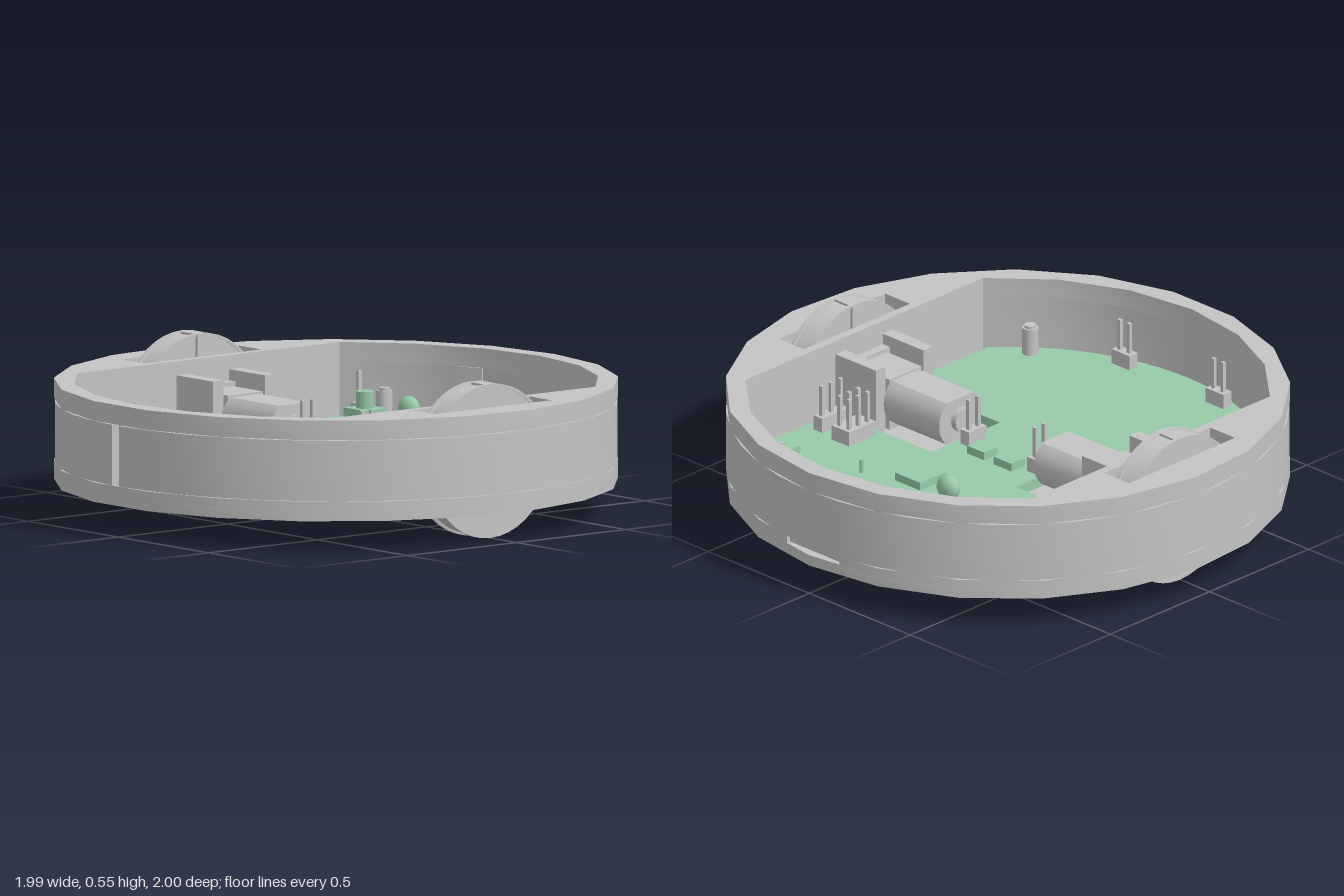
import * as THREE from 'three';
import { toCreasedNormals } from 'three/addons/utils/BufferGeometryUtils.js';

const grey = new THREE.MeshStandardMaterial({ color: 0xc4c4c4 });
grey.name = 'grey plastic';
const green = new THREE.MeshStandardMaterial({ color: 0x98caa8 });
green.name = 'circuit green';

const FLOOR = 0.17, BOARD = 0.21, AXLE = 0.277;
const v2 = (x, z) => new THREE.Vector2(x, z);

// Points on a circle; angle 0 is the front (+z)
function arc(r, a0, a1, n) {
  return Array.from({ length: n + 1 }, (_, i) => {
    const a = a0 + (a1 - a0) * i / n;
    return v2(r * Math.sin(a), r * Math.cos(a));
  });
}
const rect = (x0, x1, z0, z1) => [v2(x0, z0), v2(x1, z0), v2(x1, z1), v2(x0, z1)];
// Outlines must run counter-clockwise so that the hole walls face inwards
const ccw = pts => (THREE.ShapeUtils.isClockWise(pts) ? [...pts].reverse() : pts);

export function createModel() {
  const model = new THREE.Group();
  model.name = 'roundRobot';

  const add = (name, geo, mat = grey, parent = model) => {
    const m = new THREE.Mesh(geo, mat);
    m.name = name;
    parent.add(m);
    return m;
  };
  // Box given by its limits
  const box = (name, x0, x1, y0, y1, z0, z1, mat = grey, parent = model) => {
    const g = new THREE.BoxGeometry(x1 - x0, y1 - y0, z1 - z0);
    g.translate((x0 + x1) / 2, (y0 + y1) / 2, (z0 + z1) / 2);
    return add(name, g, mat, parent);
  };
  // Plan outline in x/z raised from y0 to y1
  const slab = (name, outline, holes, y0, y1, mat = grey) => {
    const s = new THREE.Shape(ccw(outline));
    s.holes = holes.map(h => new THREE.Path(h));
    const g = new THREE.ExtrudeGeometry(s, { depth: y1 - y0, bevelEnabled: false });
    g.rotateX(Math.PI / 2).translate(0, y1, 0);
    return add(name, toCreasedNormals(g, 0.5), mat);
  };
  const post = (name, x, z, r, y0, y1, mat = grey, n = 16) => {
    const g = new THREE.CylinderGeometry(r, r, y1 - y0, n);
    g.translate(x, (y0 + y1) / 2, z);
    return add(name, g, mat);
  };

  // Shell outlines with 21 sides and one corner at the back
  const ring = r => arc(r, Math.PI, Math.PI * 3, 21).slice(0, 21);
  const full = ring(1);
  const notched = [v2(0.13, -0.98), v2(0.13, -0.965), v2(-0.13, -0.965), v2(-0.13, -0.98), ...full.slice(1)];

  // Cavity with two straight sides, and the wheel wells
  const c = Math.asin(0.71 / 0.93);
  const cavity = [...arc(0.93, -c, c, 6), ...arc(0.93, Math.PI - c, Math.PI + c, 6)];
  const wells = [1, -1].map(s => rect(s * 0.743, s * 0.866, -0.27, 0.265));
  const open = [cavity, ...wells];

  slab('floor', full, wells, 0.11, 0.15);
  slab('floorSlotLayer', notched, wells, 0.15, FLOOR);
  slab('wallSlotLayer', notched, open, FLOOR, 0.18);
  slab('wallCore', ring(0.975), open, 0.18, 0.4);
  slab('wallTop', full, open, 0.4, 0.47);

  // Rounder outer band with a narrow gap at the front
  const bandEdge = r => arc(r, 0, Math.PI * 2 - 0.04, 42);
  slab('outerBand', [...bandEdge(0.996), ...bandEdge(0.96).reverse()], [], 0.182, 0.398);

  // Small panel on the inside of the back wall
  const panel = add('wallPanel', new THREE.BoxGeometry(0.1, 0.18, 0.008));
  panel.position.set(-0.31, 0.31, -0.867);
  panel.rotation.y = 0.43;

  // Circuit board with cut-outs for the motors
  const b = Math.asin(0.685 / 0.91);
  slab('circuitBoard', [
    ...arc(0.91, -b, b, 24), v2(0.685, 0.175), v2(0.21, 0.175), v2(0.21, -0.17), v2(0.685, -0.17),
    ...arc(0.91, Math.PI - b, Math.PI + b, 24),
    v2(-0.685, -0.17), v2(-0.21, -0.17), v2(-0.21, 0.175), v2(-0.685, 0.175),
  ], [], FLOOR, BOARD, green);

  // Wheel: flat disc with a lip on each edge of the tread
  const half = [[0, -0.046], [0.264, -0.046], [0.264, -0.05], [0.275, -0.05], [0.275, -0.036], [0.266, -0.034]];
  const profile = [...half, ...half.map(([r, y]) => [r, -y]).reverse()].map(p => v2(...p));
  const wheelGeo = toCreasedNormals(new THREE.LatheGeometry(profile, 40).rotateZ(-Math.PI / 2), 0.5);

  // Motor can: round sides, flat top and bottom
  const f = Math.asin(0.08 / 0.105);
  const canShape = new THREE.Shape([
    ...arc(0.105, Math.PI / 2 - f, Math.PI / 2 + f, 10),
    ...arc(0.105, Math.PI * 1.5 - f, Math.PI * 1.5 + f, 10)]);
  const canGeo = toCreasedNormals(
    new THREE.ExtrudeGeometry(canShape, { depth: 0.275, bevelEnabled: false })
      .rotateY(Math.PI / 2).translate(0.235, AXLE, 0), 0.4);
  const rod = (r, x0, x1) => new THREE.CylinderGeometry(r, r, x1 - x0, 20)
    .rotateZ(Math.PI / 2).translate((x0 + x1) / 2, AXLE, 0);

  // Left drive, then the right one turned half round
  for (const side of ['left', 'right']) {
    const drive = new THREE.Group();
    drive.name = side + 'Drive';
    if (side === 'right') drive.rotation.y = Math.PI;
    model.add(drive);
    add('wheel', wheelGeo, grey, drive).position.set(0.805, AXLE, 0);
    box('treadRib', 0.75, 0.842, 0.44, 0.55, -0.018, 0.018, grey, drive);
    add('axle', rod(0.022, 0.67, 0.85), grey, drive);
    add('motorCan', canGeo, grey, drive);
    add('motorBoss', rod(0.045, 0.212, 0.24), grey, drive);
    box('gearbox', 0.505, 0.68, FLOOR, 0.365, -0.08, 0.08, grey, drive);
    box('gearboxBack', 0.675, 0.71, FLOOR, 0.38, -0.1, 0.1, grey, drive);
    for (const s of [-1, 1]) {
      const z = s * 0.12;
      box('motorBracket', 0.51, 0.71, FLOOR, 0.42, z - 0.025, z + 0.025, grey, drive);
    }
  }

  // Flat green chips: x0, x1, z0, z1, height
  [[-0.25, -0.15, -0.77, -0.59, 0.04], [0.064, 0.144, -0.79, -0.73, 0.03],
    [0.21, 0.28, -0.84, -0.755, 0.03], [0.01, 0.135, -0.43, -0.305, 0.03],
    [0.535, 0.59, -0.55, -0.5, 0.03], [-0.107, -0.02, -0.09, -0.02, 0.03],
    [0.027, 0.112, -0.09, -0.02, 0.03],
  ].forEach(([x0, x1, z0, z1, h]) => box('chip', x0, x1, BOARD, BOARD + h, z0, z1, green));

  // Pin headers: centre x, z, columns, rows
  [[-0.607, -0.605, 1, 1], [0.405, -0.746, 2, 1], [0.492, -0.275, 2, 3], [0.618, -0.26, 1, 3],
    [-0.163, -0.003, 1, 2], [0.166, -0.003, 1, 2], [-0.23, 0.83, 2, 1], [0.235, 0.83, 2, 1],
  ].forEach(([x, z, nx, nz]) => {
    const p = 0.046, w = nx * p / 2 - 0.002, d = nz * p / 2 - 0.002;
    box('headerBase', x - w, x + w, BOARD, BOARD + 0.055, z - d, z + d);
    for (let i = 0; i < nx; i++) for (let j = 0; j < nz; j++) {
      const px = x + (i - (nx - 1) / 2) * p, pz = z + (j - (nz - 1) / 2) * p;
      box('headerPin', px - 0.007, px + 0.007, BOARD, BOARD + 0.17, pz - 0.007, pz + 0.007);
    }
  });

  // Board mounting posts with a stepped tip
  for (const x of [-0.545, 0.545]) for (const z of [-0.67, 0.67]) {
    post('mountingPost', x, z, 0.029, FLOOR, BOARD + 0.1);
    post('mountingPostTip', x, z, 0.021, BOARD + 0.1, BOARD + 0.11);
  }

  // Push button
  box('buttonBase', -0.497, -0.388, BOARD, BOARD + 0.065, -0.55, -0.443, green);
  post('buttonCap', -0.442, -0.497, 0.032, BOARD + 0.06, BOARD + 0.125, green);

  // Drop-shaped capacitor on thin legs
  const drop = add('capacitor', new THREE.SphereGeometry(0.048, 20, 14), green);
  drop.scale.set(1, 1, 0.7);
  drop.position.set(-0.178, 0.3, -0.48);
  for (const dx of [-0.03, 0, 0.03]) post('capacitorLeg', -0.178 + dx, -0.48, 0.005, BOARD, 0.29, green, 8);

  // Two tiny wire stubs
  for (const z of [-0.6, -0.465]) post('wireStub', 0.267, z, 0.007, BOARD, BOARD + 0.05, green, 8);

  // Data socket at the back edge
  box('socketShell', -0.06, 0.068, BOARD, BOARD + 0.05, -0.91, -0.83);
  box('socketLip', -0.05, 0.058, BOARD, BOARD + 0.02, -0.835, -0.812);
  for (const x of [-0.04, -0.02, 0.005, 0.03, 0.048]) {
    box('socketPin', x - 0.004, x + 0.004, BOARD, BOARD + 0.035, -0.835, -0.808);
  }

  // Slide switch under the floor
  box('switchBody', 0.225, 0.31, 0.07, 0.115, -0.62, -0.445);
  box('switchKnob', 0.255, 0.28, 0.055, 0.075, -0.565, -0.535);

  return model;
}
